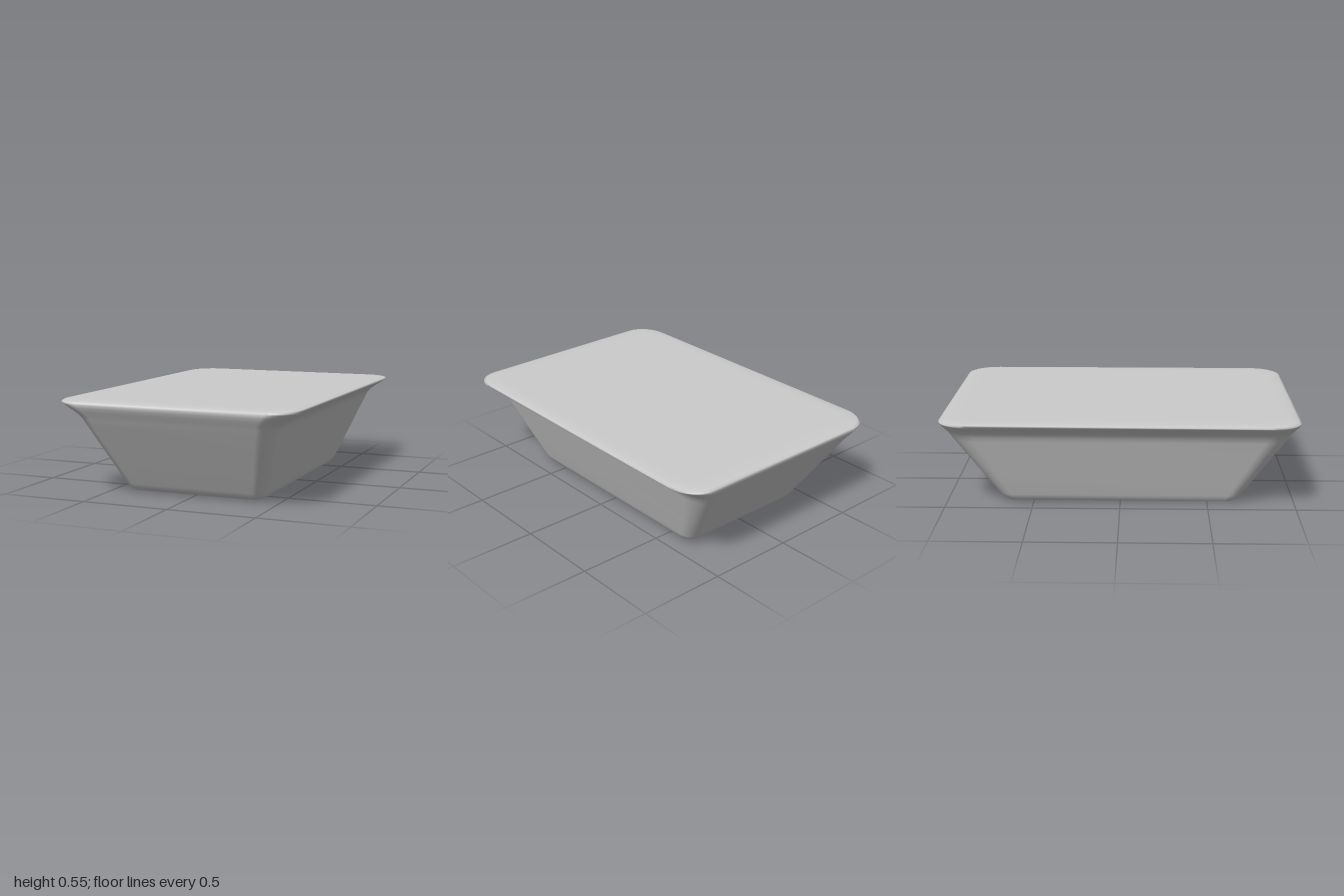
import * as THREE from 'three';

// Cross-sections from bottom to top: [y, half width, half length, corner in x, corner in z]
const SECTIONS = [
  [0.002, 0, 0, 0, 0],
  [0.002, 0.33, 0.58, 0.05, 0.06],
  [0.005, 0.37, 0.63, 0.06, 0.07],
  [0.013, 0.395, 0.66, 0.06, 0.07],
  [0.03, 0.41, 0.682, 0.06, 0.075],
  [0.055, 0.423, 0.70, 0.06, 0.08],
  [0.2, 0.478, 0.795, 0.07, 0.1],
  [0.41, 0.557, 0.932, 0.085, 0.13],
  [0.44, 0.57, 0.95, 0.09, 0.135],
  [0.465, 0.588, 0.966, 0.1, 0.14],
  [0.487, 0.617, 0.981, 0.11, 0.15],
  [0.51, 0.654, 0.995, 0.13, 0.16],
  [0.526, 0.68, 1.0, 0.14, 0.17],
  [0.537, 0.695, 0.998, 0.145, 0.17],
  [0.543, 0.685, 0.982, 0.14, 0.165],
  [0.547, 0.655, 0.945, 0.13, 0.15],
  [0.549, 0.6, 0.88, 0.1, 0.12],
  [0.549, 0, 0, 0, 0],
];
const CORNER_STEPS = 8;

// Rounded rectangle, running from +x towards +z
function ring([y, w, l, rx, rz]) {
  const points = [];
  [[1, 1], [-1, 1], [-1, -1], [1, -1]].forEach(([sx, sz], k) => {
    for (let i = 0; i <= CORNER_STEPS; i++) {
      const a = (k + i / CORNER_STEPS) * Math.PI / 2;
      points.push(sx * (w - rx) + rx * Math.cos(a), y, sz * (l - rz) + rz * Math.sin(a));
    }
  });
  return points;
}

// Closed smooth skin through all the cross-sections
function loft(sections) {
  const n = 4 * (CORNER_STEPS + 1);
  const index = [];
  for (let j = 0; j < sections.length - 1; j++) {
    for (let i = 0; i < n; i++) {
      const a = j * n + i, b = j * n + (i + 1) % n;
      index.push(a, a + n, b + n, a, b + n, b);
    }
  }
  const geometry = new THREE.BufferGeometry();
  geometry.setAttribute('position', new THREE.Float32BufferAttribute(sections.flatMap(ring), 3));
  geometry.setIndex(index);
  geometry.computeVertexNormals();
  return geometry;
}

export function createModel() {
  const group = new THREE.Group();
  group.name = 'flaredTray';
  // Tapered body with flared side lips and a flat closed top
  const body = new THREE.Mesh(loft(SECTIONS), new THREE.MeshStandardMaterial({ color: 0xcccccc }));
  body.name = 'trayBody';
  group.add(body);
  return group;
}
